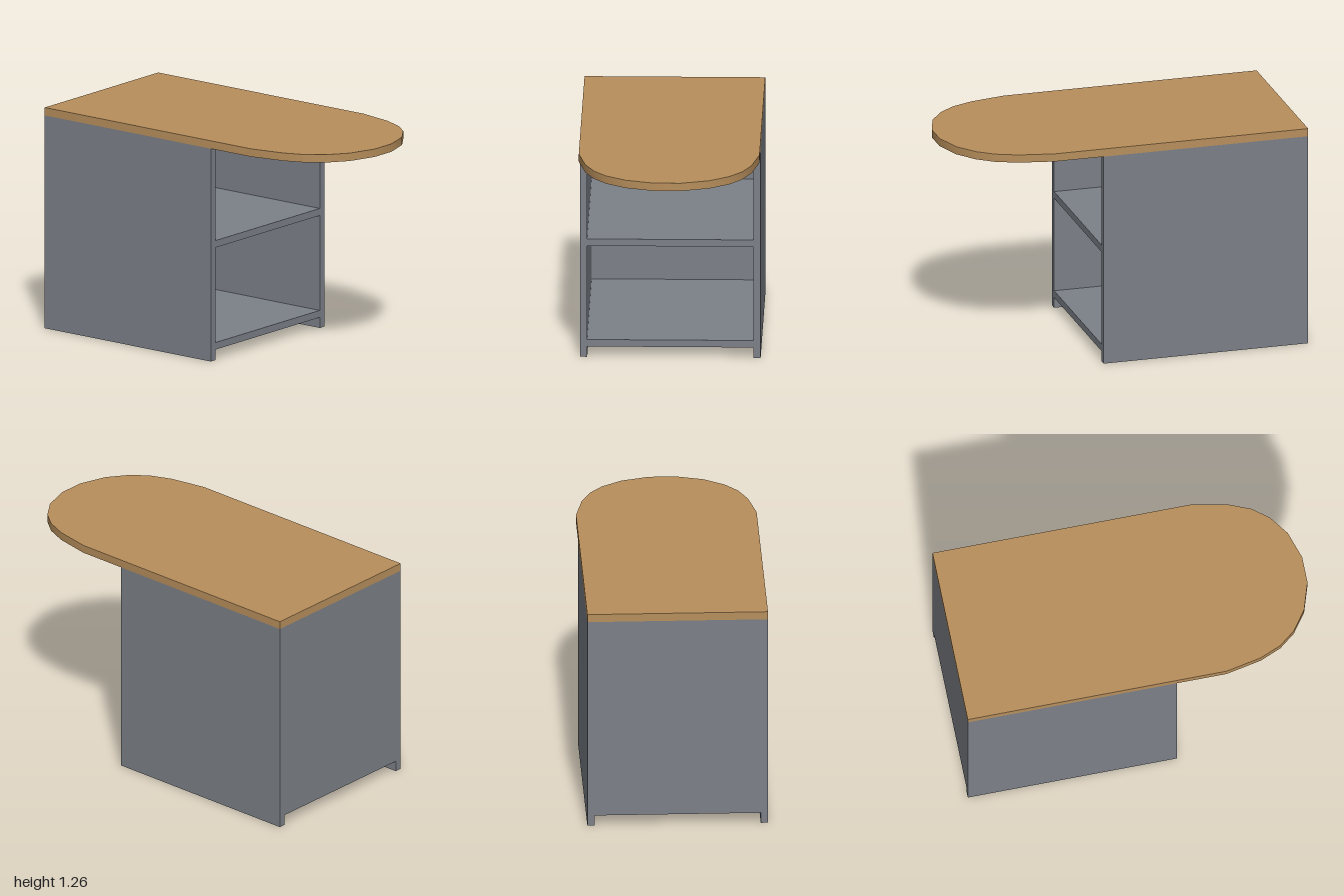
import * as THREE from 'three';
import { toCreasedNormals } from 'three/addons/utils/BufferGeometryUtils.js';

export function createModel() {
  const group = new THREE.Group();
  const wood = new THREE.MeshStandardMaterial({ color: 0xb88f5c });
  wood.name = 'wood';
  const grey = new THREE.MeshStandardMaterial({ color: 0x7c8188 });
  grey.name = 'grey';

  const back = -1, front = 0.18, underside = 1.215, board = 0.04;

  // Adds a grey board given its low and high corners
  function addBoard(name, [x0, y0, z0], [x1, y1, z1]) {
    const mesh = new THREE.Mesh(new THREE.BoxGeometry(x1 - x0, y1 - y0, z1 - z0), grey);
    mesh.position.set((x0 + x1) / 2, (y0 + y1) / 2, (z0 + z1) / 2);
    mesh.name = name;
    group.add(mesh);
  }

  // Cabinet: two sides reaching the floor, back panel and two shelves
  const inner = 0.5 - board;
  addBoard('leftSide', [inner, 0, back], [0.5, underside, front]);
  addBoard('rightSide', [-0.5, 0, back], [-inner, underside, front]);
  addBoard('backPanel', [-inner, 0.06, back], [inner, underside, back + board]);
  for (const [name, y] of [['bottomShelf', 0.06], ['middleShelf', 0.642]]) {
    addBoard(name, [-inner, y, back + board], [inner, y + board, front]);
  }

  // Table top: square at the back, rounded overhang at the front
  const curve = [[0.5, 0.46], [0.46, 0.66], [0.41, 0.78], [0.34, 0.87], [0.23, 0.95], [0.075, 1]];
  const half = [[0.5, back], ...curve];
  const mirrored = half.map(([x, z]) => [-x, z]).reverse();
  const outline = [...half, ...mirrored].map(([x, z]) => new THREE.Vector2(x, -z));
  const topGeometry = new THREE.ExtrudeGeometry(new THREE.Shape(outline), {
    depth: 0.045, bevelEnabled: false,
  });
  topGeometry.rotateX(-Math.PI / 2);
  const top = new THREE.Mesh(toCreasedNormals(topGeometry, 0.6), wood);
  top.position.y = underside;
  top.name = 'tableTop';
  group.add(top);

  return group;
}
